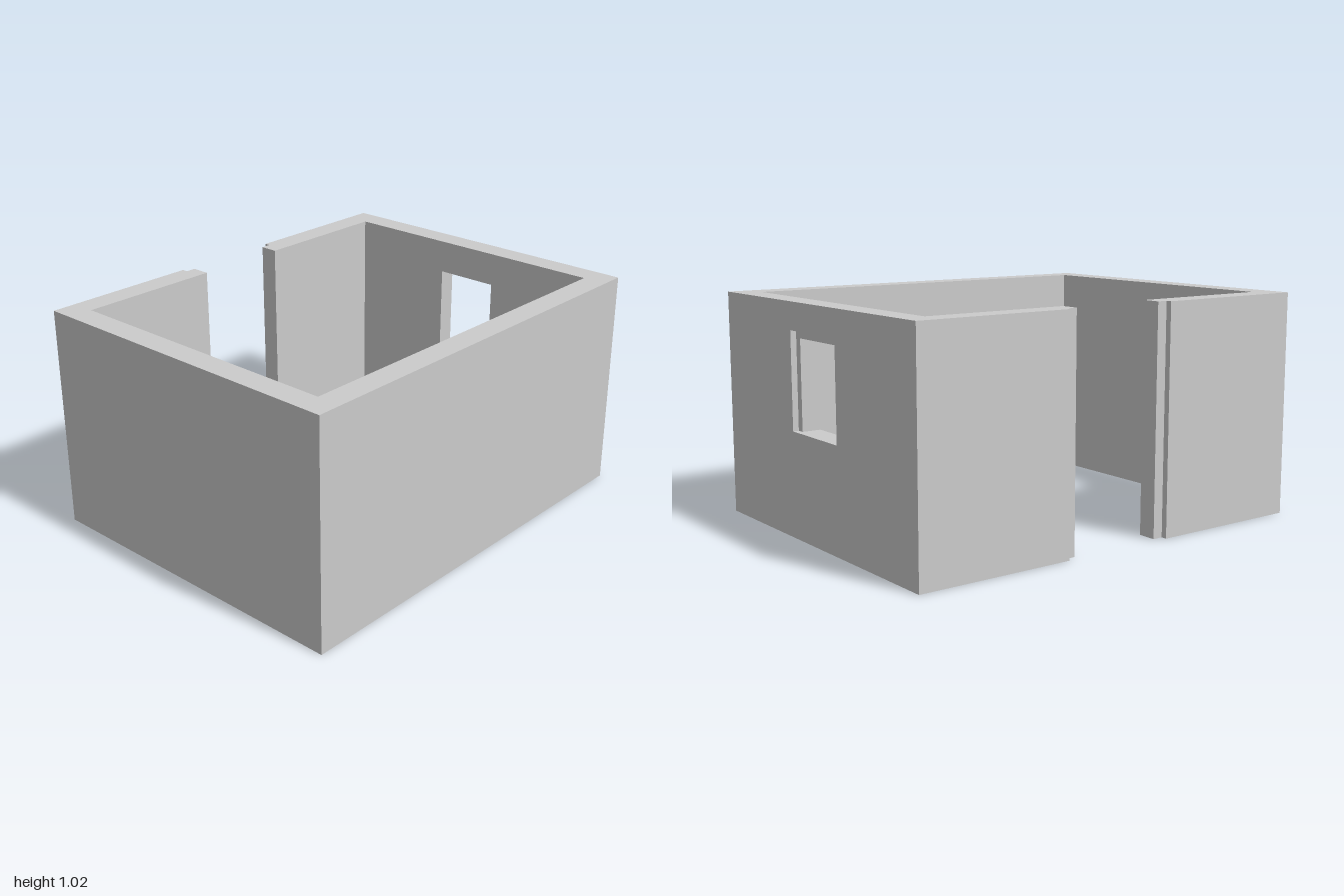
import * as THREE from 'three';

const X = 1, Z = 0.78, H = 1.025, T = 0.112; // half width, half depth, height, wall thickness
const REBATE = 0.027;                        // depth of the step around the openings
const material = new THREE.MeshStandardMaterial({ color: 0xcccccc, flatShading: true });

const points = (list) => list.map(([x, y]) => new THREE.Vector2(x, y));
const rectangle = (x0, y0, x1, y1) => points([[x0, y0], [x1, y0], [x1, y1], [x0, y1]]);
const extrude = (shape, depth) => new THREE.ExtrudeGeometry(shape, { depth, bevelEnabled: false });

function addMesh(group, name, geometry) {
  const mesh = new THREE.Mesh(geometry, material);
  mesh.name = name;
  group.add(mesh);
}

// One layer of the window wall, spanning x0 to x1, with a hole of the given half width and top
function windowLayer(x0, x1, halfWidth, top) {
  const shape = new THREE.Shape(rectangle(-Z, 0, Z, H));
  shape.holes.push(new THREE.Path(rectangle(-halfWidth, 0.47, halfWidth, top)));
  return extrude(shape, x1 - x0).rotateY(Math.PI / 2).translate(x0, 0, 0);
}

export function createModel() {
  const group = new THREE.Group();
  group.name = 'roofless room';

  // Back, right-hand and front walls as one plan, with a stepped jamb at the doorway
  const xi = X - T, zi = Z - T, step = 0.27, jamb = 0.222;
  const plan = new THREE.Shape(points([
    [-jamb, zi], [-jamb, Z - REBATE], [-step, Z - REBATE], [-step, Z],
    [-X, Z], [-X, -Z], [xi, -Z], [xi, -zi], [-xi, -zi], [-xi, zi],
  ]));
  addMesh(group, 'mainWalls', extrude(plan, H).rotateX(-Math.PI / 2));

  // Back wall on the other side of the doorway
  const pier = new THREE.Shape(points([
    [jamb, zi], [xi, zi], [xi, Z], [step, Z], [step, Z - REBATE], [jamb, Z - REBATE],
  ]));
  addMesh(group, 'doorPier', extrude(pier, H).rotateX(-Math.PI / 2));

  // Window wall: the outer layer has the larger opening
  addMesh(group, 'windowWallInner', windowLayer(xi, X - REBATE, 0.152, 0.87));
  addMesh(group, 'windowWallOuter', windowLayer(X - REBATE, X, 0.186, 0.903));

  return group;
}
